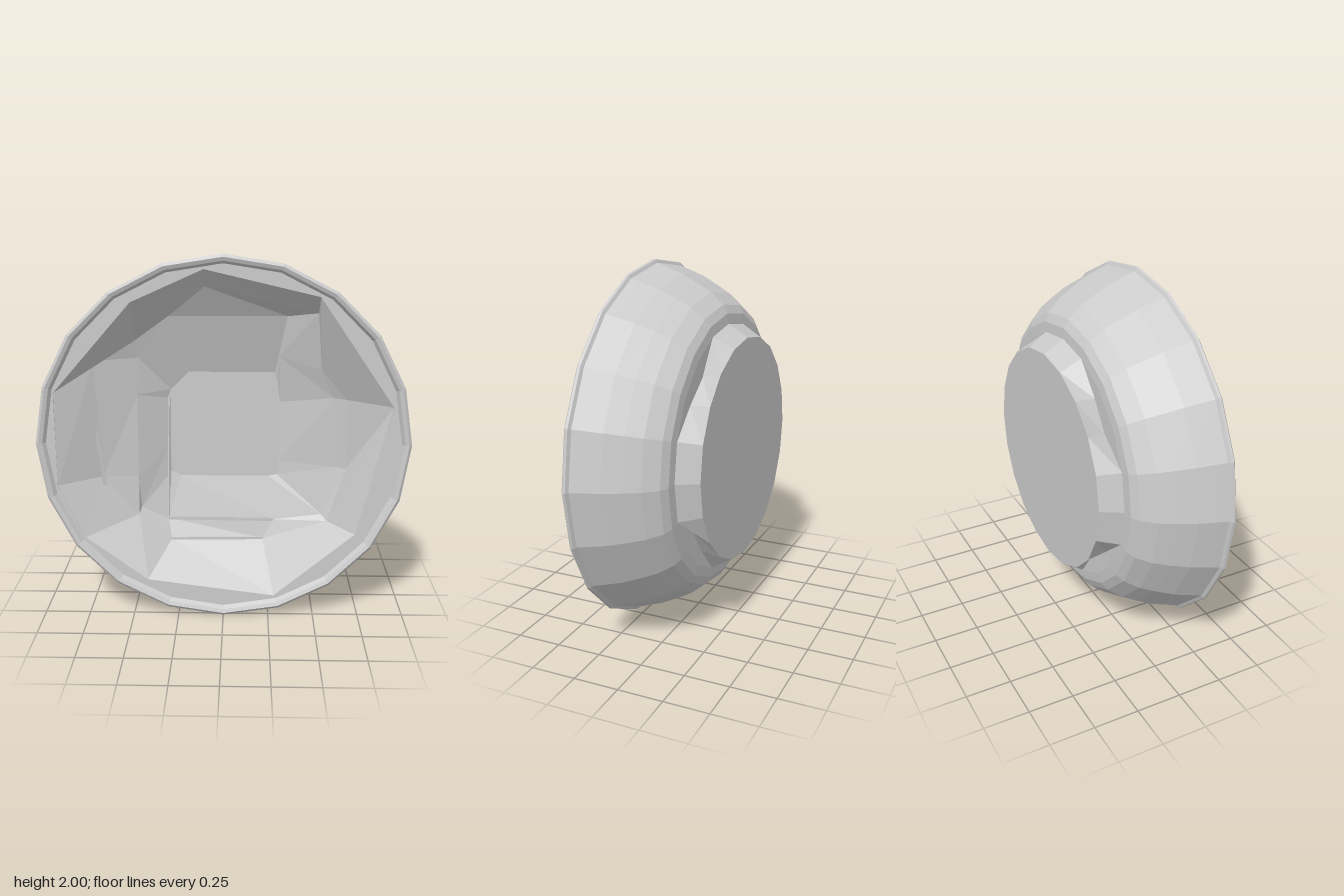
import * as THREE from 'three';

const SIDES = 20;

// Joins consecutive loops of [x, y, z] points with quads and closes the last loop
function loft(loops) {
  const pos = [];
  for (let j = 0; j < loops.length - 1; j++) {
    const a = loops[j], b = loops[j + 1], n = a.length;
    for (let i = 0; i < n; i++) {
      const k = (i + 1) % n;
      pos.push(...a[i], ...a[k], ...b[k], ...a[i], ...b[k], ...b[i]);
    }
  }
  const last = loops[loops.length - 1], n = last.length;
  const c = [0, 1, 2].map((d) => last.reduce((s, p) => s + p[d], 0) / n);
  for (let i = 0; i < n; i++) pos.push(...last[i], ...last[(i + 1) % n], ...c);
  const g = new THREE.BufferGeometry();
  g.setAttribute('position', new THREE.Float32BufferAttribute(pos, 3));
  g.computeVertexNormals();
  return g;
}

// Ring of points around the bowl's axis, clockwise from the top
const ring = (z, radius) => Array.from({ length: SIDES }, (_, i) => {
  const t = (i / SIDES) * Math.PI * 2, r = radius(i);
  return [Math.sin(t) * r, 1 + Math.cos(t) * r, z];
});

export function createModel() {
  const group = new THREE.Group();
  const mat = new THREE.MeshStandardMaterial({ color: 0xcccccc, flatShading: true, side: THREE.DoubleSide });
  const add = (name, geometry) => {
    const m = new THREE.Mesh(geometry, mat);
    m.name = name;
    group.add(m);
    return m;
  };

  // Outer shell with a beaded rim: [radius, z] from the foot outward to the lip
  const profile = [
    [0.5, -0.165], [0.68, -0.17], [0.735, -0.165], [0.78, -0.14], [0.84, -0.07], [0.885, 0.01],
    [0.93, 0.1], [0.965, 0.2], [0.98, 0.245], [0.997, 0.255], [1, 0.268], [0.985, 0.28],
    [0.965, 0.272], [0.95, 0.25],
  ].map(([r, z]) => new THREE.Vector2(r, z));
  add('bowlShell', new THREE.LatheGeometry(profile, SIDES).rotateX(Math.PI / 2).translate(0, 1, 0));

  // Faceted liner in steps from the lip to the floor, clockwise from the upper left
  const rim = [
    [-0.48, 1.75], [-0.1, 1.92], [0.5, 1.78], [0.5, 1.78], [0.9, 1.2], [0.9, 1.2],
    [0.72, 0.48], [0.28, 0.11], [-0.42, 0.2], [-0.76, 0.45], [-0.9, 0.75], [-0.9, 1.27],
  ].map(([x, y]) => [x, y, 0.24]);
  const wall = [
    [-0.48, 1.52, 0.06], [-0.1, 1.82, 0.14], [0.5, 1.68, 0.13], [0.53, 1.36, 0.06], [0.67, 1.2, 0.08],
    [0.68, 0.8, 0.06], [0.58, 0.49, 0.07], [0.22, 0.36, 0.02], [-0.3, 0.36, 0.04], [-0.48, 0.52, 0.06],
    [-0.67, 0.76, 0.1], [-0.7, 1.42, 0.14],
  ];
  const step = [
    [-0.47, 1.42, 0.03], [-0.3, 1.65, 0.04], [0.34, 1.65, 0.04], [0.3, 1.42, -0.02], [0.6, 1.2, 0.04],
    [0.62, 0.8, 0.03], [0.55, 0.52, 0.04], [0.28, 0.47, 0], [-0.32, 0.47, -0.01], [-0.47, 0.55, 0.03],
    [-0.48, 0.74, 0.04], [-0.48, 1.21, 0.03],
  ];
  const floor = [
    [-0.3, 1.22], [-0.2, 1.32], [0.28, 1.32], [0.3, 1.25], [0.31, 1.15], [0.31, 0.8],
    [0.3, 0.72], [0.25, 0.71], [-0.25, 0.71], [-0.3, 0.74], [-0.31, 0.9], [-0.32, 1.17],
  ].map(([x, y]) => [x, y, -0.07]);
  add('innerLiner', loft([rim, wall, step, floor]));

  // Flat lip between the round rim and the angular liner
  const flat = (points) => points.map(([x, y]) => new THREE.Vector2(x, y));
  const lip = new THREE.Shape(flat(ring(0, () => 0.952)));
  lip.holes.push(new THREE.Path(flat(rim.filter((_, i) => i !== 3 && i !== 5))));
  add('lip', new THREE.ShapeGeometry(lip).translate(0, 0, 0.245));

  // Thin ridges along the folds of the liner: start, end
  const ridges = [
    [[-0.31, 1.17, -0.07], [-0.32, 0.47, -0.01]],
    [[-0.32, 0.47, -0.01], [0.28, 0.47, 0]],
    [[-0.3, 0.36, 0.04], [0.22, 0.36, 0.02]],
    [[-0.74, 1.35, 0.14], [-0.65, 0.6, 0.1]],
  ];
  for (const [p, q] of ridges) {
    const a = new THREE.Vector3(...p), b = new THREE.Vector3(...q);
    const ridge = add('linerRidge', new THREE.BoxGeometry(0.008, 0.02, a.distanceTo(b)));
    ridge.position.copy(a).lerp(b, 0.5);
    ridge.lookAt(b);
  }

  // Foot at the back: flat disc on a skirt pinched in at four corners
  const skirt = ring(-0.168, (i) => (i % 5 === 2 ? 0.57 : i % 5 === 3 ? 0.6 : 0.68));
  add('foot', loft([skirt, ring(-0.28, () => 0.615)]));

  return group;
}
